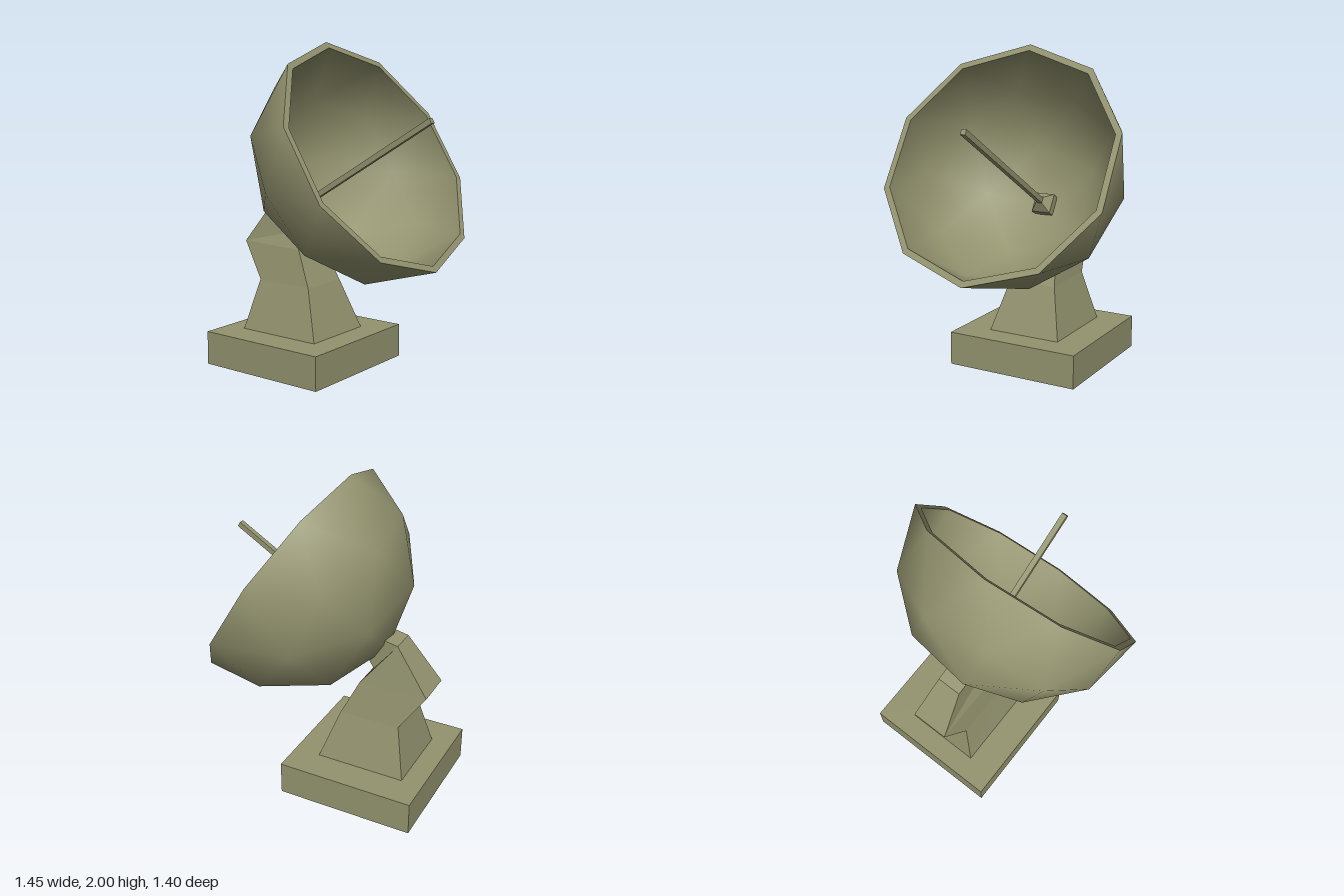
import * as THREE from 'three';

const olive = new THREE.MeshStandardMaterial({ color: 0x93936f });
olive.name = 'olive paint';

function part(name, geometry, parent, x = 0, y = 0, z = 0) {
  const mesh = new THREE.Mesh(geometry, olive);
  mesh.name = name;
  mesh.position.set(x, y, z);
  parent.add(mesh);
  return mesh;
}

function fromTriangles(points, normals) {
  const geo = new THREE.BufferGeometry();
  geo.setAttribute('position', new THREE.Float32BufferAttribute(points, 3));
  if (normals) geo.setAttribute('normal', new THREE.Float32BufferAttribute(normals, 3));
  else geo.computeVertexNormals();
  return geo;
}

// Smooth half icosphere bulging towards -z, with its decagon opening at z = 0
function bowl(radius, inward) {
  const ico = new THREE.IcosahedronGeometry(radius, 1);
  ico.rotateX(Math.atan(2 / (1 + Math.sqrt(5)))); // put a corner on the -z axis
  ico.rotateZ(Math.PI / 10);                      // opening gets a corner at the top
  const pos = ico.attributes.position;
  const points = [], normals = [];
  const v = new THREE.Vector3();
  for (let i = 0; i < pos.count; i += 3) {
    if (pos.getZ(i) + pos.getZ(i + 1) + pos.getZ(i + 2) > -1e-3) continue;
    for (const k of inward ? [0, 2, 1] : [0, 1, 2]) {
      v.fromBufferAttribute(pos, i + k);
      points.push(v.x, v.y, v.z);
      v.normalize().multiplyScalar(inward ? -1 : 1);
      normals.push(v.x, v.y, v.z);
    }
  }
  return fromTriangles(points, normals);
}

// Flat-sided loft through four-cornered sections [frontZ, frontY, backZ, backY, halfWidth]
function loft(sections) {
  const rings = sections.map(([fz, fy, bz, by, w]) =>
    [[-w, fy, fz], [w, fy, fz], [w, by, bz], [-w, by, bz]]);
  const points = [];
  const quad = (a, b, c, d) => points.push(...a, ...b, ...c, ...a, ...c, ...d);
  for (let s = 0; s < rings.length - 1; s++) {
    for (let i = 0; i < 4; i++) {
      const j = (i + 1) % 4;
      quad(rings[s][i], rings[s][j], rings[s + 1][j], rings[s + 1][i]);
    }
  }
  quad(...rings[rings.length - 1]);
  quad(...[...rings[0]].reverse());
  return fromTriangles(points);
}

export function createModel() {
  const model = new THREE.Group();
  model.name = 'dishAntenna';

  // Square foot and bent pedestal
  part('base', new THREE.BoxGeometry(0.865, 0.21, 0.865), model, 0, 0.105, -0.2675);
  part('pedestal', loft([
    [0, 0.21, -0.565, 0.21, 0.24],
    [-0.11, 0.52, -0.495, 0.525, 0.158],
    [-0.215, 0.74, -0.65, 0.75, 0.118],
    [-0.29, 0.84, -0.44, 1.03, 0.077],
    [-0.25, 0.9, -0.345, 1.05, 0.077],
  ]), model);

  // Dish, tilted upwards; its own axis is +z
  const dish = new THREE.Group();
  dish.name = 'dish';
  dish.position.set(0, 1.35, 0.305);
  dish.rotation.x = -0.546;
  model.add(dish);
  const outer = 0.76, inner = 0.72;
  part('dishBack', bowl(outer, false), dish);
  part('dishInside', bowl(inner, true), dish);
  part('dishRim', new THREE.RingGeometry(inner, outer, 10, 1, Math.PI / 2), dish);

  // Receiver mount with pyramid collar, and the rod
  part('receiverMount', new THREE.BoxGeometry(0.125, 0.125, 0.08), dish, 0, 0, -0.69);
  const collar = new THREE.CylinderGeometry(0.028, 0.088, 0.05, 4, 1, true).toNonIndexed();
  collar.rotateY(Math.PI / 4).rotateX(Math.PI / 2);
  collar.computeVertexNormals();
  part('receiverCollar', collar, dish, 0, 0, -0.625);
  part('receiverRod', new THREE.BoxGeometry(0.033, 0.033, 1.11), dish, 0, 0, -0.145);

  return model;
}
